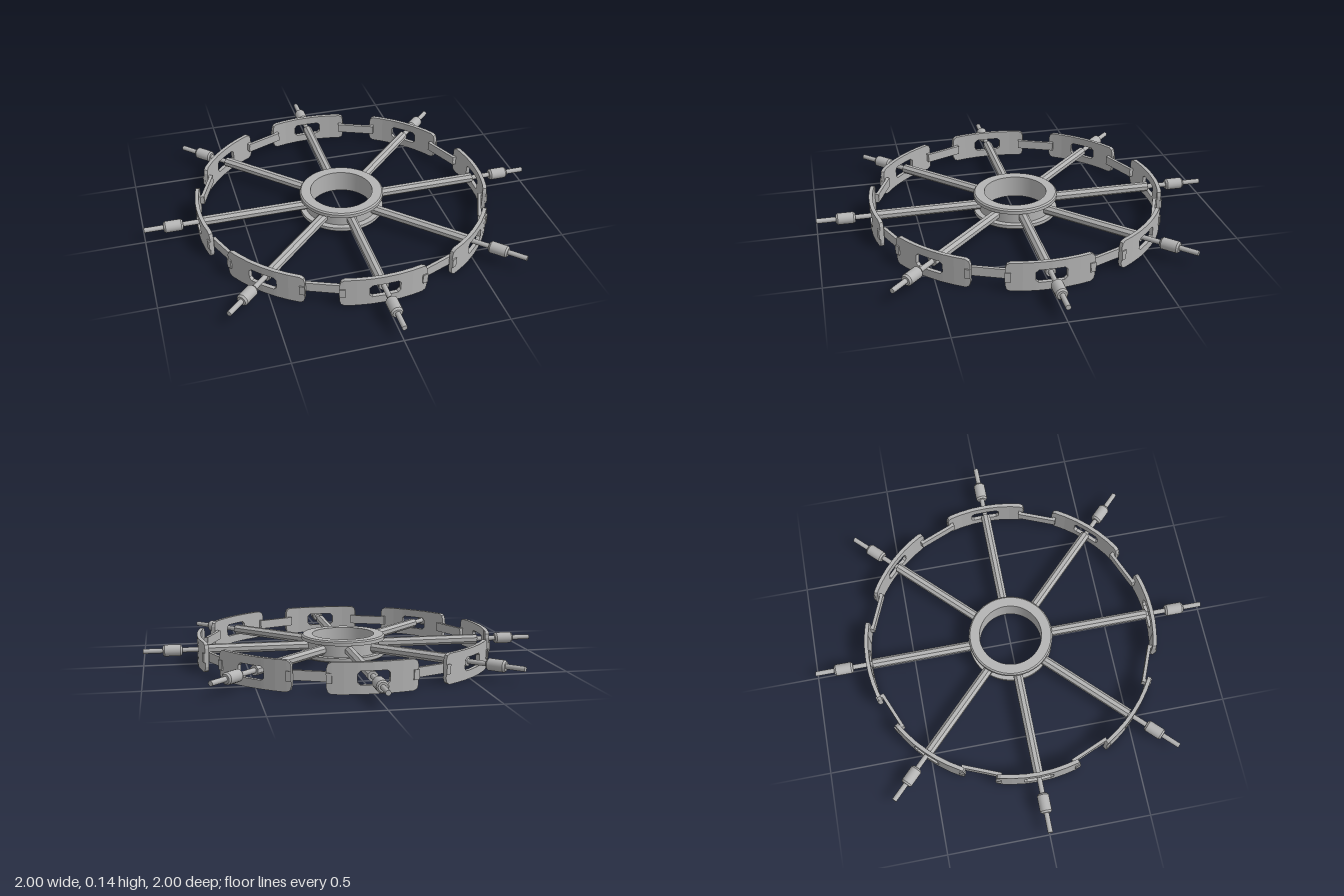
import * as THREE from 'three';

const MID = 0.073;      // height of the wheel's centre plane
const COUNT = 8;
const PLATE_IN = 0.718, PLATE_OUT = 0.737;

// Curved strip around the wheel axis; sections are [angle, yLow, yHigh]
function arcStrip(sections, rIn, rOut) {
  const rings = sections.map(([a, lo, hi]) =>
    [[rOut, lo], [rOut, hi], [rIn, hi], [rIn, lo]].map(([r, y]) => [r * Math.sin(a), y, r * Math.cos(a)]));
  const pos = [];
  const quad = (a, b, c, d) => pos.push(...a, ...b, ...c, ...a, ...c, ...d);
  for (let i = 0; i < rings.length - 1; i++) {
    for (let k = 0; k < 4; k++) {
      const n = (k + 1) % 4;
      quad(rings[i][k], rings[i + 1][k], rings[i + 1][n], rings[i][n]);
    }
  }
  const s = rings[0], e = rings[rings.length - 1];
  quad(s[0], s[1], s[2], s[3]);
  quad(e[3], e[2], e[1], e[0]);
  const geo = new THREE.BufferGeometry();
  geo.setAttribute('position', new THREE.Float32BufferAttribute(pos, 3));
  geo.computeVertexNormals();
  return geo;
}

export function createModel() {
  const model = new THREE.Group();
  model.name = 'spokedWheel';
  const steel = new THREE.MeshStandardMaterial({ color: 0xb4b4b4 });
  steel.name = 'greySteel';
  const facetedSteel = steel;

  const add = (parent, name, geo, x = 0, y = 0, z = 0) => {
    const mesh = new THREE.Mesh(geo, facetedSteel);
    mesh.name = name;
    mesh.position.set(x, y, z);
    parent.add(mesh);
    return mesh;
  };
  // Revolved profile with hard edges between its bands
  const hardLathe = (points, segments) => {
    const profile = [];
    points.forEach((p, i) => {
      if (i === 0) return;
      profile.push([points[i - 1], p]);
    });
    return profile.map(([a, b]) => new THREE.LatheGeometry(
      [new THREE.Vector2(...a), new THREE.Vector2(...b)], segments));
  };

  // Hub: a spool with two flanges and an open bore
  const hub = new THREE.Group();
  hub.name = 'hub';
  model.add(hub);
  const lo = 0.018, hi = 0.128, flange = 0.024;
  hardLathe([
    [0.157, lo], [0.205, lo], [0.212, lo + 0.007], [0.212, lo + flange], [0.184, lo + flange],
    [0.184, hi - flange], [0.212, hi - flange], [0.212, hi - 0.007], [0.205, hi], [0.157, hi], [0.157, lo],
  ], 48).forEach((g) => add(hub, 'hubBand', g));

  // Shared geometry; radial parts run along +z
  const spokeGeo = new THREE.CylinderGeometry(0.025, 0.025, 0.535, 8, 1).toNonIndexed();
  spokeGeo.rotateY(Math.PI / 8).rotateX(Math.PI / 2);
  spokeGeo.computeVertexNormals();
  const rodGeo = new THREE.CylinderGeometry(0.0125, 0.0125, 0.3, 12).rotateX(Math.PI / 2);
  const gripGeos = hardLathe([
    [0, 0.81], [0.022, 0.81], [0.029, 0.819], [0.029, 0.896], [0.022, 0.905], [0, 0.905],
  ], 16).map((g) => g.rotateX(Math.PI / 2));

  // Rim plate: two chamfered ends joined above and below a central window
  const end = 0.286, win = 0.1, top = 0.145;
  const wLo = MID - 0.032, wHi = MID + 0.032;
  const right = [[win, 0, top], [0.18, 0, top], [0.255, 0, top], [end - 0.008, 0.009, top - 0.009], [end, 0.028, top - 0.028]];
  const left = right.map(([a, y0, y1]) => [-a, y0, y1]).reverse();
  const across = [-win, -win + 0.018, 0, win - 0.018, win];
  const round = (i) => (i === 0 || i === 4 ? 0.012 : 0);
  const plateGeos = [
    left, right,
    across.map((a, i) => [a, wHi - round(i), top]),
    across.map((a, i) => [a, 0, wLo + round(i)]),
  ].map((s) => arcStrip(s, PLATE_IN, PLATE_OUT));

  const linkGeo = new THREE.BoxGeometry(0.2, 0.046, 0.016);
  const tabGeo = new THREE.BoxGeometry(0.016, 0.046, 0.044);
  const padGeo = new THREE.BoxGeometry(0.026, 0.046, 0.01);

  for (let i = 0; i < COUNT; i++) {
    const angle = (i * Math.PI * 2) / COUNT;

    // Spoke, outer rod, grip and rim plate
    const arm = new THREE.Group();
    arm.name = 'arm';
    arm.rotation.y = angle;
    model.add(arm);
    add(arm, 'spoke', spokeGeo, 0, MID, 0.4425);
    add(arm, 'handleRod', rodGeo, 0, MID, 0.85);
    gripGeos.forEach((g) => {
      const grip = add(arm, 'handleGrip', g, 0, MID, 0);
      // Rotated profile runs along +z
      grip.rotation.z = 0;
    });
    plateGeos.forEach((g) => add(arm, 'rimPlate', g));

    // Hook tabs that pass through the plate ends
    for (const side of [-1, 1]) {
      const hook = new THREE.Group();
      hook.name = 'linkHook';
      hook.rotation.y = side * 0.262;
      arm.add(hook);
      add(hook, 'hookTab', tabGeo, 0, MID, 0.72);
      add(hook, 'hookPad', padGeo, side * 0.006, MID, 0.738);
    }

    // Straight link bar between neighbouring plates
    const link = new THREE.Group();
    link.name = 'rimLink';
    link.rotation.y = angle + Math.PI / COUNT;
    model.add(link);
    add(link, 'linkBar', linkGeo, 0, MID, 0.7);
  }
  return model;
}
